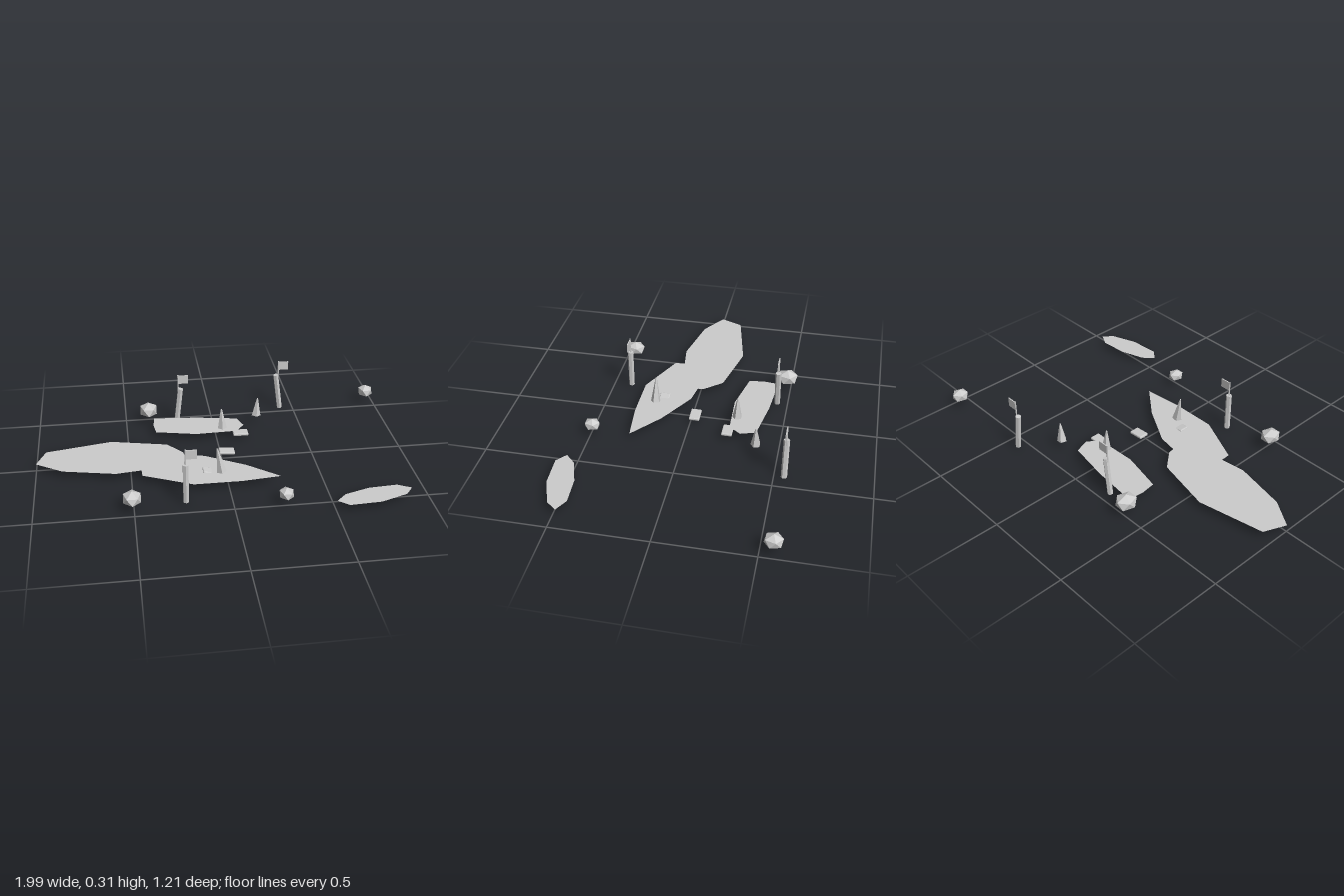
import * as THREE from 'three';
import { RoundedBoxGeometry } from 'three/addons/geometries/RoundedBoxGeometry.js';

const grey = new THREE.MeshStandardMaterial({ color: 0xcccccc, flatShading: true, side: THREE.DoubleSide });
grey.name = 'stone grey';

export function createModel() {
  const model = new THREE.Group();
  model.name = 'campField';

  const add = (name, geometry, x, y, z, parent = model) => {
    const mesh = new THREE.Mesh(geometry, grey);
    mesh.name = name;
    mesh.position.set(x, y, z);
    parent.add(mesh);
    return mesh;
  };

  // Flat ground patches, outlines as [x, z]
  const patches = [
    [[-1, 0], [-0.95, -0.12], [-0.595, -0.19], [-0.29, -0.12], [-0.21, -0.025], [-0.205, 0.01],
      [-0.445, 0.135], [-0.58, 0.152], [-0.858, 0.092]],
    [[-0.205, 0.01], [-0.1, 0.028], [0.11, 0.15], [0.275, 0.285], [0.067, 0.307], [-0.185, 0.307],
      [-0.443, 0.188], [-0.445, 0.135]],
    [[-0.34, -0.432], [-0.094, -0.41], [0.136, -0.37], [0.163, -0.288], [0.115, -0.224],
      [-0.115, -0.216], [-0.34, -0.266], [-0.35, -0.348]],
    [[0.51, 0.552], [0.564, 0.498], [0.698, 0.455], [0.848, 0.445], [0.917, 0.482], [0.874, 0.536],
      [0.73, 0.588], [0.564, 0.597]],
  ];
  for (const outline of patches) {
    const shape = new THREE.Shape(outline.map(([x, z]) => new THREE.Vector2(x, -z)));
    add('groundPatch', new THREE.ShapeGeometry(shape).rotateX(-Math.PI / 2), 0, 0.04, 0);
  }

  // Squashed boulders with one vertex pointing up: x, y, z, radii
  const pointUp = -Math.atan(2 / (1 + Math.sqrt(5)));
  const boulders = [
    [-0.369, 0.075, -0.478, 0.055, 0.044, 0.063],
    [-0.508, 0.074, 0.445, 0.052, 0.039, 0.059],
    [0.954, 0.071, -0.563, 0.046, 0.038, 0.051],
    [0.263, 0.065, 0.49, 0.041, 0.033, 0.046],
  ];
  for (const [x, y, z, rx, ry, rz] of boulders) {
    const geometry = new THREE.IcosahedronGeometry(1, 0).rotateZ(pointUp).rotateY(0.3).scale(rx, ry, rz);
    add('boulder', geometry, x, y, z);
  }

  // Slender five-sided spikes: x, y, z, height, lean
  const spikes = [
    [-0.041, 0.119, 0.212, 0.14, 0.17],
    [0.033, 0.11, -0.253, 0.115, 0.04],
    [0.255, 0.103, -0.383, 0.106, -0.07],
  ];
  for (const [x, y, z, height, lean] of spikes) {
    add('spike', new THREE.CylinderGeometry(0.004, 0.027, height, 5), x, y, z).rotation.z = lean;
  }

  // Leaning six-sided posts, each with an upright mast and a flag
  const posts = [
    [-0.235, 0.402, 0],
    [-0.195, -0.442, -0.12],
    [0.41, -0.552, 0.13],
  ];
  for (const [x, z, lean] of posts) {
    const marker = new THREE.Group();
    marker.name = 'flagMarker';
    marker.position.set(x, 0, z);
    model.add(marker);
    add('post', new THREE.CylinderGeometry(0.016, 0.016, 0.218, 6), 0, 0.11, 0, marker).rotation.z = lean;
    add('mast', new THREE.CylinderGeometry(0.004, 0.004, 0.135, 6), 0, 0.238, 0, marker);
    add('flag', new THREE.BoxGeometry(0.056, 0.05, 0.006), 0.03, 0.276, 0, marker);
  }

  // Stepping slabs with bevelled edges: x, y, z, tilt
  const slabs = [
    [-0.083, 0.033, 0.176, -0.16],
    [0.03, 0.031, -0.022, -0.07],
    [0.135, 0.031, -0.217, 0],
  ];
  for (const [x, y, z, tilt] of slabs) {
    add('steppingSlab', new RoundedBoxGeometry(0.085, 0.015, 0.057, 1, 0.005), x, y, z).rotation.z = tilt;
  }

  return model;
}
